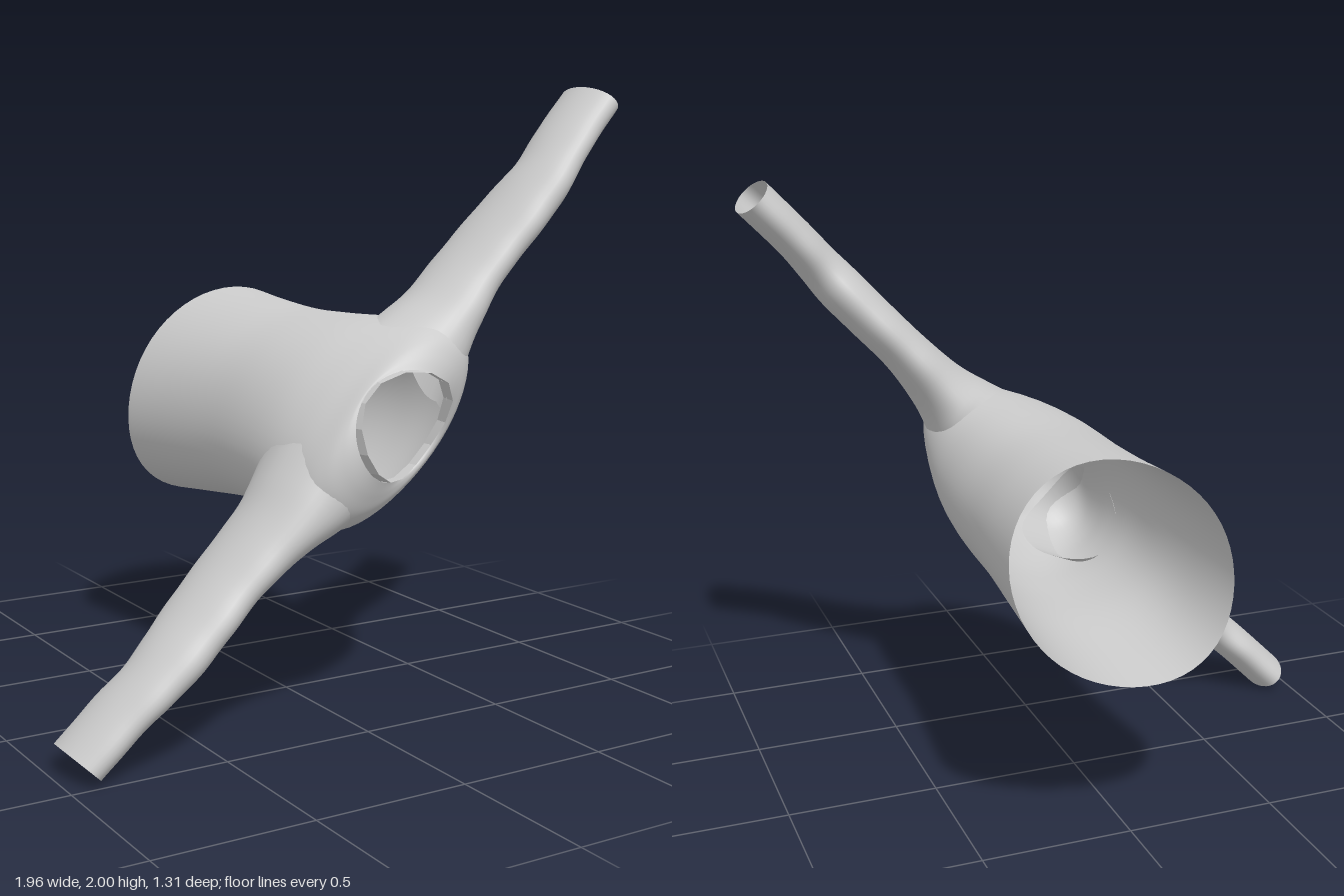
import * as THREE from 'three';

const material = new THREE.MeshStandardMaterial({ color: 0xcccccc, side: THREE.DoubleSide });
const collarMaterial = new THREE.MeshStandardMaterial({ color: 0xcccccc, side: THREE.DoubleSide, flatShading: true });

// Smoothly resample a short list of cross-section rows
function resample(rows, steps) {
  const out = [];
  for (let s = 0; s <= steps; s++) {
    const t = (s / steps) * (rows.length - 1);
    const i = Math.min(Math.floor(t), rows.length - 2);
    const f = t - i;
    const at = (k) => rows[Math.max(0, Math.min(rows.length - 1, k))];
    out.push(rows[0].map((_, c) => {
      const p0 = at(i - 1)[c], p1 = at(i)[c], p2 = at(i + 1)[c], p3 = at(i + 2)[c];
      return p1 + 0.5 * f * (p2 - p0 + f * (2 * p0 - 5 * p1 + 4 * p2 - p3 + f * (3 * (p1 - p2) + p3 - p0)));
    }));
  }
  return out;
}

// Open tube through the rows; point(row, angle) gives each corner
function loft(name, rows, sides, point, mat = material) {
  const positions = [], index = [];
  rows.forEach((row, r) => {
    for (let k = 0; k < sides; k++) {
      positions.push(...point(row, (k / sides) * Math.PI * 2));
      if (r === 0) continue;
      const n = (k + 1) % sides;
      const a = (r - 1) * sides + k, b = (r - 1) * sides + n;
      const c = r * sides + k, d = r * sides + n;
      index.push(a, b, d, a, d, c);
    }
  });
  const geometry = new THREE.BufferGeometry();
  geometry.setAttribute('position', new THREE.Float32BufferAttribute(positions, 3));
  geometry.setIndex(index);
  geometry.computeVertexNormals();
  const mesh = new THREE.Mesh(geometry, mat);
  mesh.name = name;
  return mesh;
}

export function createModel() {
  const model = new THREE.Group();
  model.name = 'shirt';

  // Inside this group x runs along the sleeves, y from chest to back, z from hem to neck
  const garment = new THREE.Group();
  garment.name = 'garment';
  garment.position.y = 1.0;
  garment.rotation.z = 0.797;
  model.add(garment);

  // Torso: z, centre y, half width, half depth, neckline dip, hem wave
  const torsoRows = resample([
    [-0.645, -0.108, 0.400, 0.325, 0, 0.01],
    [-0.42, -0.106, 0.374, 0.310, 0, 0],
    [-0.15, -0.10, 0.350, 0.295, 0, 0],
    [0.10, -0.095, 0.356, 0.288, 0, 0],
    [0.28, -0.09, 0.374, 0.268, 0, 0],
    [0.42, -0.08, 0.388, 0.228, 0, 0],
    [0.51, -0.068, 0.375, 0.192, 0.003, 0],
    [0.558, -0.06, 0.320, 0.174, 0.01, 0],
    [0.58, -0.055, 0.245, 0.163, 0.02, 0],
    [0.587, -0.053, 0.182, 0.156, 0.03, 0],
  ], 54);
  garment.add(loft('torso', torsoRows, 56, ([z, cy, a, b, dip, wave], t) => {
    const fold = 1 + 0.008 * Math.sin(5 * t + 3 * z) * Math.cos(2 * z);
    return [
      0.018 + a * fold * Math.cos(t),
      cy + b * fold * Math.sin(t),
      z + dip * (Math.cos(2 * t) + 0.7 * Math.sin(t)) + wave * Math.sin(3 * t + 1),
    ];
  }));

  // Sleeves: distance outward, centre y, centre z, half thickness, half height,
  // and how far the root wraps inward around the shoulder
  const sleeveRows = resample([
    [0.35, -0.062, 0.385, 0.172, 0.200, 0.12],
    [0.39, -0.055, 0.384, 0.138, 0.193, 0.06],
    [0.46, -0.043, 0.382, 0.100, 0.180, 0.01],
    [0.62, -0.030, 0.378, 0.079, 0.168, 0],
    [0.80, -0.025, 0.392, 0.077, 0.162, 0],
    [0.93, -0.020, 0.408, 0.077, 0.148, 0],
    [1.03, -0.012, 0.417, 0.070, 0.134, 0],
    [1.15, -0.003, 0.402, 0.066, 0.133, 0],
    [1.333, 0, 0.386, 0.066, 0.129, 0],
  ], 48);
  for (const side of [1, -1]) {
    const name = side > 0 ? 'leftSleeve' : 'rightSleeve';
    garment.add(loft(name, sleeveRows, 36, ([d, cy, cz, ry, rz, wrap], t) => {
      const crease = 1 + 0.012 * Math.sin(38 * d + 2 * Math.sin(t));
      const up = Math.sin(side * t), across = Math.cos(side * t);
      const out = d - wrap * (across * across + Math.max(0, up));
      return [side * out, cy + ry * across, cz + rz * crease * up];
    }));
  }

  // Collar: faceted band, high over the shoulders and lowest at the chest
  const collarRows = [
    [0.566, 0.184, 0.158, 0.032],
    [0.614, 0.178, 0.156, 0.042],
  ];
  garment.add(loft('collar', collarRows, 14, ([z, a, b, dip], t) => [
    0.02 + a * Math.cos(t),
    -0.053 + b * Math.sin(t),
    z + dip * Math.cos(2 * t) + 0.024 * Math.sin(t),
  ], collarMaterial));

  return model;
}
